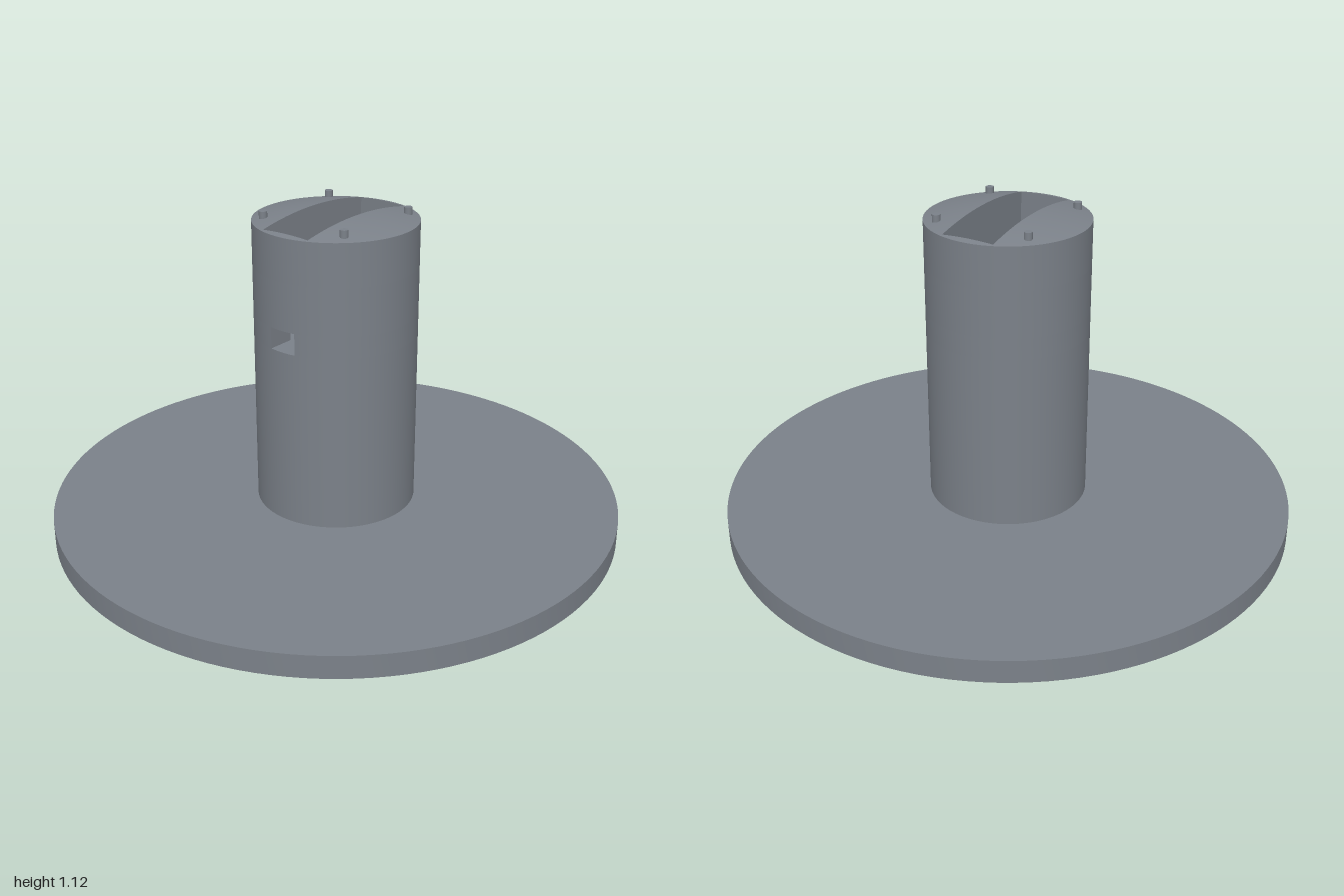
import * as THREE from 'three';
import { toCreasedNormals } from 'three/addons/utils/BufferGeometryUtils.js';

const R = 0.28, RIM = 1.09, RISE = 0.032;     // column radius, rim height, dome rise
const SX = 0.255, SZ = 0.093, PX = 0.18;      // slot half sizes, pocket half length
const FLOOR = 0.7, LEDGE = 0.94;              // pocket floor and mounting ledge heights
const NZ = 0.05, NTOP = 0.775;                // cable opening half width and top

const domeR = (R * R + RISE * RISE) / (2 * RISE);
const domeY = (x, z) => RIM + RISE - domeR + Math.sqrt(domeR * domeR - x * x - z * z);

export function createModel() {
  const model = new THREE.Group();
  const material = new THREE.MeshStandardMaterial({ color: 0x7b8189 });

  const add = (name, geometry, parent = model) => {
    const mesh = new THREE.Mesh(geometry, material);
    mesh.name = name;
    parent.add(mesh);
    return mesh;
  };

  const circle = (r, x = 0) => new THREE.Shape().absarc(x, 0, r, 0, Math.PI * 2, false);
  const polygon = (points) => new THREE.Shape(points.map(([x, y]) => new THREE.Vector2(x, y)));
  const rect = (hx, hy) => polygon([[-hx, -hy], [hx, -hy], [hx, hy], [-hx, hy]]);

  // Column outlines share their points, so stacked slabs meet without gaps
  const arc = (from, to, n) => Array.from({ length: n + 1 }, (_, i) => {
    const t = from + (to - from) * i / n;
    return [R * Math.cos(t), R * Math.sin(t)];
  });
  const gap = Math.PI - Math.asin(NZ / R);
  const openRound = arc(-gap, gap, 120);
  const column = () => polygon([...openRound, ...arc(gap, 2 * Math.PI - gap, 8).slice(1, -1)]);

  // Upright slab of a plan shape between two heights
  const slab = (name, shape, y0, y1, holes = []) => {
    shape.holes = holes;
    const g = new THREE.ExtrudeGeometry(shape, { depth: y1 - y0, bevelEnabled: false, curveSegments: 64 });
    g.rotateX(-Math.PI / 2).translate(0, y0, 0);
    return add(name, toCreasedNormals(g, 0.5));
  };

  // Curved patch: f(u, v) gives a point, u and v from 0 to 1
  const patch = (nu, nv, f) => {
    const g = new THREE.PlaneGeometry(1, 1, nu, nv);
    const p = g.attributes.position;
    for (let i = 0; i < p.count; i++) p.setXYZ(i, ...f(p.getX(i) + 0.5, p.getY(i) + 0.5));
    g.computeVertexNormals();
    return g;
  };

  // Base disc with a small round hole underneath, closed above by the column foot
  slab('baseDisc', circle(1), 0, 0.08, [circle(0.024)]);

  // Column: solid foot, then the pocket with the cable opening on its -x side
  slab('columnFoot', column(), 0.06, FLOOR);
  slab('cableOpening', polygon([...openRound,
    [-PX, NZ], [-PX, SZ], [PX, SZ], [PX, -SZ], [-PX, -SZ], [-PX, -NZ]]), FLOOR, NTOP);

  // Pocket with screw holes in its ledges, then the wider slot
  slab('pocketWall', column(), NTOP, LEDGE, [rect(PX, SZ), circle(0.016, -0.215), circle(0.016, 0.215)]);
  slab('slotWall', column(), LEDGE, RIM, [rect(SX, SZ)]);

  // Domed top, made as one half and its copy turned half round
  for (const turn of [0, Math.PI]) {
    const half = new THREE.Group();
    half.name = turn ? 'domeFrontHalf' : 'domeBackHalf';
    half.rotation.y = turn;
    model.add(half);
    const t0 = Math.asin(SZ / R);
    add('domeSegment', patch(32, 16, (u, v) => {
      const t = t0 + (Math.PI / 2 - t0) * v;
      const x = (2 * u - 1) * R * Math.cos(t), z = -R * Math.sin(t);
      return [x, domeY(x, z), z];
    }), half);
    add('domeEnd', patch(16, 2, (u, v) => {
      const z = (2 * u - 1) * SZ;
      const x = SX + (Math.sqrt(R * R - z * z) - SX) * v;
      return [x, domeY(x, z), z];
    }), half);
    add('slotLip', patch(32, 1, (u, v) => {
      const x = (2 * u - 1) * SX;
      return [x, RIM + (domeY(x, SZ) - RIM) * v, -SZ];
    }), half);
    add('slotEndLip', patch(16, 1, (u, v) => {
      const z = (2 * u - 1) * SZ;
      return [SX, RIM + (domeY(SX, z) - RIM) * v, z];
    }), half);
  }

  // Four locating pins
  for (const x of [-0.17, 0.17]) {
    for (const z of [-0.17, 0.17]) {
      add('pin', new THREE.CylinderGeometry(0.014, 0.014, 0.032, 24)).position.set(x, 1.106, z);
    }
  }
  return model;
}
